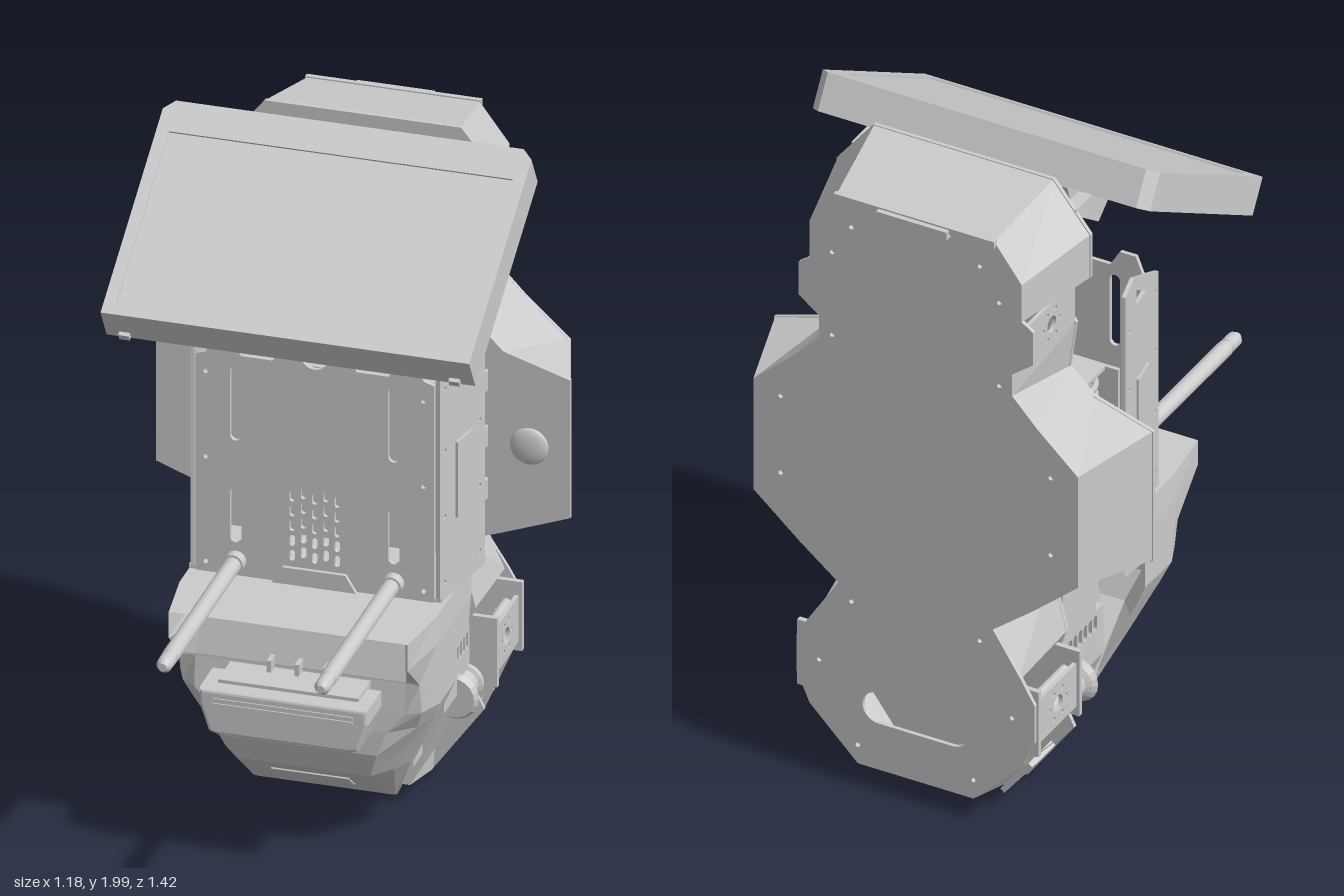
import * as THREE from 'three';

const mat = new THREE.MeshStandardMaterial({ color: 0xcccccc, side: THREE.DoubleSide, flatShading: true });
const smooth = new THREE.MeshStandardMaterial({ color: 0xcccccc });
const poly = (pts) => new THREE.Shape(pts.map(([x, y]) => new THREE.Vector2(x, y)));
const mirrored = (pts) => [...pts, ...pts.map(([x, y]) => [-x, y]).reverse()];
const flat = (shape, depth) => new THREE.ExtrudeGeometry(shape, { depth, bevelEnabled: false, curveSegments: 10 });

// Shape drawn in (z, y), given a thickness along x and centred on x = 0
function sidePlate(shape, t) {
  return flat(shape, t).rotateY(-Math.PI / 2).translate(t / 2, 0, 0);
}
function slot(x, y0, y1, r) {
  const p = new THREE.Path();
  p.absarc(x, y1 - r, r, 0, Math.PI, false);
  p.absarc(x, y0 + r, r, Math.PI, Math.PI * 2, false);
  p.closePath();
  return p;
}
function hole(x, y, r) {
  const p = new THREE.Path();
  p.absarc(x, y, r, 0, Math.PI * 2, true);
  return p;
}
// Surface through rings of equal length
function loft(rings) {
  const v = [];
  for (let i = 0; i < rings.length - 1; i++) {
    for (let j = 0; j < rings[i].length - 1; j++) {
      const a = rings[i][j], b = rings[i][j + 1], c = rings[i + 1][j + 1], d = rings[i + 1][j];
      v.push(...a, ...b, ...c, ...a, ...c, ...d);
    }
  }
  const g = new THREE.BufferGeometry();
  g.setAttribute('position', new THREE.Float32BufferAttribute(v, 3));
  g.computeVertexNormals();
  return g;
}

export function createModel() {
  const root = new THREE.Group();
  const add = (name, geo, parent = root, m = mat) => {
    const mesh = new THREE.Mesh(geo, m);
    mesh.name = name;
    parent.add(mesh);
    return mesh;
  };
  const box = (name, x0, x1, y0, y1, z0, z1, parent) => add(name,
    new THREE.BoxGeometry(x1 - x0, y1 - y0, z1 - z0).translate((x0 + x1) / 2, (y0 + y1) / 2, (z0 + z1) / 2), parent);
  const disc = (name, r, len, x, y, z, axis, parent) => {
    const g = new THREE.CylinderGeometry(r, r, len, 24);
    if (axis === 'z') g.rotateX(Math.PI / 2);
    if (axis === 'x') g.rotateZ(Math.PI / 2);
    return add(name, g.translate(x, y, z), parent, smooth);
  };
  const sides = [1, -1].map((s) => {
    const g = new THREE.Group();
    g.name = s > 0 ? 'leftSide' : 'rightSide';
    g.scale.x = s;
    root.add(g);
    return g;
  });

  // Rear housing: [front x, front y, back x, back y, wall continues to the next point]
  const ZF = -0.41, ZB = -0.69;
  const outline = [
    [0.28, 1.975, 0.245, 1.915, 1], [0.395, 1.83, 0.33, 1.8, 1], [0.395, 1.69, 0.33, 1.68, 0],
    [0.33, 1.65, 0.365, 1.655, 0], [0.33, 1.56, 0.365, 1.55, 0], [0.35, 1.53, 0.3, 1.5, 1],
    [0.33, 1.38, 0.3, 1.43, 1], [0.4, 1.31, 0.38, 1.345, 1], [0.59, 1.25, 0.505, 1.23, 1],
    [0.59, 0.83, 0.505, 0.87, 0], [0.39, 0.755, 0.36, 0.745, 0], [0.27, 0.715, 0.24, 0.65, 0],
    [0.32, 0.52, 0.33, 0.51, 0], [0.3, 0.46, 0.37, 0.44, 0],
    [0.3, 0.3, 0.37, 0.32, 0], [0.345, 0.21, 0.33, 0.23, 1], [0.2, 0.01, 0.18, 0.08, 0],
  ];
  const back = poly(mirrored(outline.map((p) => [p[2], p[3]])));
  const backSlot = new THREE.Path();
  backSlot.absarc(0.115, 0.28, 0.05, -Math.PI / 2, Math.PI / 2, false);
  backSlot.absarc(-0.115, 0.28, 0.05, Math.PI / 2, Math.PI * 1.5, false);
  back.holes.push(backSlot);
  for (const s of [1, -1]) for (const [x, y] of [[0.2, 1.82], [0.26, 1.72], [0.26, 1.45], [0.42, 1.2], [0.42, 0.95], [0.2, 0.6], [0.3, 0.38], [0.18, 0.14]])
    back.holes.push(hole(s * x, y, 0.007));
  add('rearBackPlate', flat(back, 0.012).translate(0, 0, ZB));
  add('rearFrontPlate', flat(poly(mirrored(outline.map((p) => [p[0], p[1]]))), 0.012).translate(0, 0, ZF - 0.012));
  const f = (p, s = 1) => [s * p[0], p[1], ZF], b = (p, s = 1) => [s * p[2], p[3], ZB];
  const top = outline[0], bottom = outline[outline.length - 1];
  add('rearTopPanel', loft([[f(top, -1), f(top)], [b(top, -1), b(top)]]));
  add('rearBottomPanel', loft([[f(bottom, -1), f(bottom)], [b(bottom, -1), b(bottom)]]));
  box('topFlange', -0.25, 0.25, 1.9, 1.92, -0.7, -0.685);
  box('rearHandle', -0.11, 0.11, 1.89, 1.915, -0.715, -0.69);

  // Thin drive mount with a hub hole and a ring of screw holes
  const mount = (y0, y1, z0, z1, x, g) => {
    const sh = poly([[z0, y0], [z1, y0], [z1, y1], [z0, y1]]);
    const zc = (z0 + z1) / 2, yc = (y0 + y1) / 2;
    sh.holes.push(hole(zc, yc, 0.025));
    for (let i = 0; i < 6; i++) sh.holes.push(hole(zc + 0.046 * Math.cos(i * Math.PI / 3), yc + 0.046 * Math.sin(i * Math.PI / 3), 0.007));
    add('driveMount', sidePlate(sh, 0.012).translate(x, 0, 0), g);
  };

  for (const g of sides) {
    for (let i = 0; i < outline.length - 1; i++) {
      const p = outline[i], q = outline[i + 1];
      if (p[4]) add('rearSidePanel', loft([[f(p), f(q)], [b(p), b(q)]]), g);
    }
    // Wing underside, then the waist panel flaring out below it
    add('wingUnderside', loft([
      [[0.59, 0.83, ZF], [0.27, 0.715, ZF], [0.32, 0.515, ZF]],
      [[0.505, 0.87, ZB], [0.2, 0.755, ZB], [0.32, 0.505, ZB]],
    ]), g);
    mount(1.53, 1.665, -0.68, -0.42, 0.34, g);
    mount(0.3, 0.44, -0.66, -0.44, 0.36, g);
    for (const z of [-0.44, -0.67]) box('mountFlange', 0.3, 0.375, 0.27, 0.48, z - 0.008, z + 0.008, g);
    for (const y of [0.33, 0.41]) disc('mountSpacer', 0.015, 0.24, 0.33, y, -0.56, 'z', g);
    // Raised cover on the sloped lower panel
    const cover = box('lowerCover', -0.008, 0.008, -0.07, 0.07, -0.065, 0.065, g);
    cover.position.set(0.266, 0.125, -0.54);
    cover.rotation.z = -0.67;

    // Splayed chest side panel
    const sh = poly([[0.03, 0.75], [0.03, 1.44], [-0.17, 1.54], [-0.24, 1.52], [-0.24, 0.75]]);
    sh.holes.push(new THREE.Path([[-0.07, 1.44], [-0.15, 1.44], [-0.15, 1.49]].map((p) => new THREE.Vector2(...p))));
    for (const y of [0.8, 1.0, 1.2, 1.39]) for (const z of [0, -0.21]) sh.holes.push(hole(z, y, 0.007));
    const panel = add('chestSidePanel', sidePlate(sh, 0.012), g);
    panel.position.set(0.355, 0, 0);
    panel.rotation.y = -0.17;
    const cap = box('chestSideCover', -0.006, 0.006, 0.97, 1.2, -0.15, -0.06, g);
    cap.position.set(0.363, 0, 0);
    cap.rotation.y = -0.17;

    // Front pole with a narrow neck and rounded tip
    const pole = [[0, 0.05], [0.024, 0.05], [0.024, 0.64], [0.019, 0.645], [0.019, 0.65], [0.023, 0.655], [0.022, 0.695], [0.012, 0.71], [0, 0.71]];
    add('frontPole', new THREE.LatheGeometry(pole.map((p) => new THREE.Vector2(...p)), 16).rotateX(Math.PI / 2).translate(0.225, 0.795, 0), g);
    disc('poleCollar', 0.03, 0.04, 0.225, 0.795, 0.045, 'z', g);
    box('poleRail', 0.21, 0.24, 0.77, 0.79, -0.4, 0.04, g);

    // Coil between chest and rear housing
    const coil = [];
    for (let i = 0; i <= 160; i++) {
      const a = i / 160 * Math.PI * 2 * 10;
      coil.push(new THREE.Vector3(0.28 + 0.05 * Math.cos(a), 0.88 + 0.39 * i / 160, -0.29 + 0.05 * Math.sin(a)));
    }
    add('coil', new THREE.TubeGeometry(new THREE.CatmullRomCurve3(coil), 320, 0.011, 6), g, smooth);
    for (const y of [0.89, 1.05, 1.22]) disc('hinge', 0.018, 0.06, 0.34, y, -0.4, 'y', g);

    // Lower thruster knob
    const knob = [[0, -0.3], [0.06, -0.3], [0.07, -0.315], [0.06, -0.33], [0.045, -0.34], [0.045, -0.39], [0.055, -0.395], [0.055, -0.41], [0, -0.41]];
    add('thrusterKnob', new THREE.LatheGeometry(knob.map((p) => new THREE.Vector2(...p)), 20).rotateX(Math.PI / 2).translate(0.29, 0.29, 0), g);
    box('screenArm', 0.31, 0.35, 1.88, 1.895, -0.42, -0.32, g);
    for (const y of [0.26, 0.44]) disc('linkBolt', 0.027, 0.02, 0.245, y, -0.14, 'x', g);

    // Lower core side: slotted upper wall over a wall narrowing to the base
    const wall = poly([[-0.18, 0.3], [-0.18, 0.46], [-0.22, 0.46], [-0.22, 0.73], [-0.41, 0.73], [-0.41, 0.3]]);
    for (let i = 0; i < 7; i++) wall.holes.push(slot(-0.393 + i * 0.028, 0.395, 0.445, 0.009));
    add('coreSide', sidePlate(wall, 0.012).translate(0.295, 0, 0), g);
    add('coreLowerSide', loft([
      [[0.3, 0.3, -0.41], [0.3, 0.3, -0.18]], [[0.205, 0.07, -0.41], [0.205, 0.07, -0.18]], [[0.2, 0.01, -0.41], [0.2, 0.01, -0.4]],
    ]), g);
  }
  add('coreFront', loft([
    [0.73, 0.3, -0.22], [0.46, 0.3, -0.22], [0.459, 0.3, -0.18], [0.3, 0.3, -0.18], [0.07, 0.205, -0.18], [0.01, 0.2, -0.4],
  ].map(([y, w, z]) => [[-w, y, z], [w, y, z]])));
  add('wingButton', new THREE.SphereGeometry(0.055, 24, 12).scale(1, 1, 0.3).translate(0.475, 1.035, -0.405), root, smooth);

  // Chest front plate with slots, ears and perforations
  const chest = poly(mirrored([[0.34, 0.75], [0.34, 1.41], [0.31, 1.42], [0.29, 1.47], [0.24, 1.47], [0.21, 1.42], [0.12, 1.42], [0.1, 1.45], [0.1, 1.64]]));
  for (const s of [1, -1]) {
    chest.holes.push(slot(s * 0.225, 1.16, 1.39, 0.016), slot(s * 0.225, 0.85, 1.02, 0.016));
    for (const y of [0.78, 1.1, 1.36]) chest.holes.push(hole(s * 0.31, y, 0.007));
  }
  chest.holes.push(slot(0, 1.41, 1.6, 0.042));
  for (let c = -2; c <= 2; c++) for (let r = 0; r < 5; r++) {
    const y = 0.83 + r * 0.045 + (c % 2 ? 0 : -0.012);
    chest.holes.push(slot(c * 0.032, y, y + 0.033, 0.008));
  }
  add('chestFrontPlate', flat(chest, 0.012).translate(0, 0, 0.022));
  box('chestBackPlate', -0.38, 0.38, 0.75, 1.28, -0.24, -0.228);
  box('chestFloor', -0.36, 0.36, 0.75, 0.762, -0.24, 0.03);
  add('chestTab', flat(poly(mirrored([[0.12, 0.75], [0.09, 0.8]])), 0.012).translate(0, 0, 0.034));
  box('spineBlock', -0.3, 0.3, 0.75, 1.27, -0.41, -0.35);
  box('spineCap', -0.34, 0.34, 1.27, 1.28, -0.41, -0.23);

  // Tilted screen with a recessed face
  const screen = new THREE.Group();
  screen.name = 'screen';
  screen.position.set(0, 1.773, -0.018);
  screen.rotation.x = -1.03;
  root.add(screen);
  const frame = poly(mirrored([[0.525, -0.35], [0.525, 0.32], [0.495, 0.35]]));
  frame.holes.push(new THREE.Path([[-0.49, -0.315], [0.49, -0.315], [0.49, 0.25], [-0.49, 0.25]].map((p) => new THREE.Vector2(...p))));
  add('screenFrame', flat(frame, 0.11).translate(0, 0, -0.055), screen);
  box('screenFace', -0.491, 0.491, -0.316, 0.251, -0.045, 0.049, screen);
  for (const x of [-0.47, 0.47]) box('screenFoot', x - 0.015, x + 0.015, -0.362, -0.345, -0.05, -0.03, screen);
  add('screenBracket', sidePlate(poly([[0.01, 1.665], [-0.06, 1.61], [-0.2, 1.71], [-0.235, 1.82], [0.05, 1.66]]), 0.44));
  box('screenHinge', -0.13, 0.16, 1.875, 1.9, -0.41, -0.31);

  // Lower front shell: [y, half width, side z, wing tip x, wing tip z, front half width, front z, back z]
  const shell = [
    [0.74, 0.365, 0.1, 0.34, 0.28, 0.3, 0.12, -0.23], [0.66, 0.37, 0.1, 0.34, 0.28, 0.29, 0.14, -0.21],
    [0.565, 0.37, 0.09, 0.34, 0.17, 0.3, 0.165, -0.18], [0.56, 0.37, 0.09, 0.34, 0.17, 0.3, 0.165, -0.07],
    [0.47, 0.37, 0.08, 0.34, 0.15, 0.3, 0.175, -0.07], [0.41, 0.345, 0.06, 0.32, 0.12, 0.25, 0.18, -0.07],
    [0.335, 0.31, 0.04, 0.28, 0.1, 0.22, 0.18, -0.07], [0.25, 0.27, 0.02, 0.24, 0.08, 0.19, 0.14, -0.07],
    [0.1, 0.205, -0.06, 0.2, -0.058, 0.19, -0.055, -0.07],
  ].map(([y, w, zs, wt, zt, wf, zf, zb]) => {
    const half = [[w, y, zb], [w, y, zs], [wt, y, zt], [wf, y, zf]];
    return [...half, ...half.map(([x, , z]) => [-x, y, z]).reverse()];
  });
  add('lowerShell', loft(shell));
  add('lowerShellTop', loft([shell[0].slice(0, 4), shell[0].slice(4).reverse()]));
  const hatch = box('shellHatch', -0.11, 0.11, -0.04, 0.04, -0.004, 0.004);
  hatch.position.set(0, 0.18, 0.049);
  hatch.rotation.x = 0.92;
  for (const x of [-0.13, 0.13]) disc('shellBolt', 0.015, 0.03, x, 0.7, 0.14, 'z');
  box('hipLink', -0.24, 0.24, 0.17, 0.56, -0.18, -0.1);

  // Front lamp with slats and studs
  add('frontLamp', new THREE.ExtrudeGeometry(poly(mirrored([[0.23, 0.535], [0.23, 0.5], [0.205, 0.425], [0.19, 0.42]])),
    { depth: 0.116, bevelThickness: 0.012, bevelSize: 0.01, bevelSegments: 3 }).translate(0, 0, 0.2));
  box('lampTop', -0.2, 0.2, 0.535, 0.555, 0.16, 0.28);
  for (const y of [0.5, 0.515]) box('lampSlat', -0.2, 0.2, y, y + 0.007, 0.32, 0.332);
  for (const x of [-0.08, 0, 0.08]) box('lampStud', x - 0.006, x + 0.006, 0.555, 0.59, 0.15, 0.2);
  return root;
}
